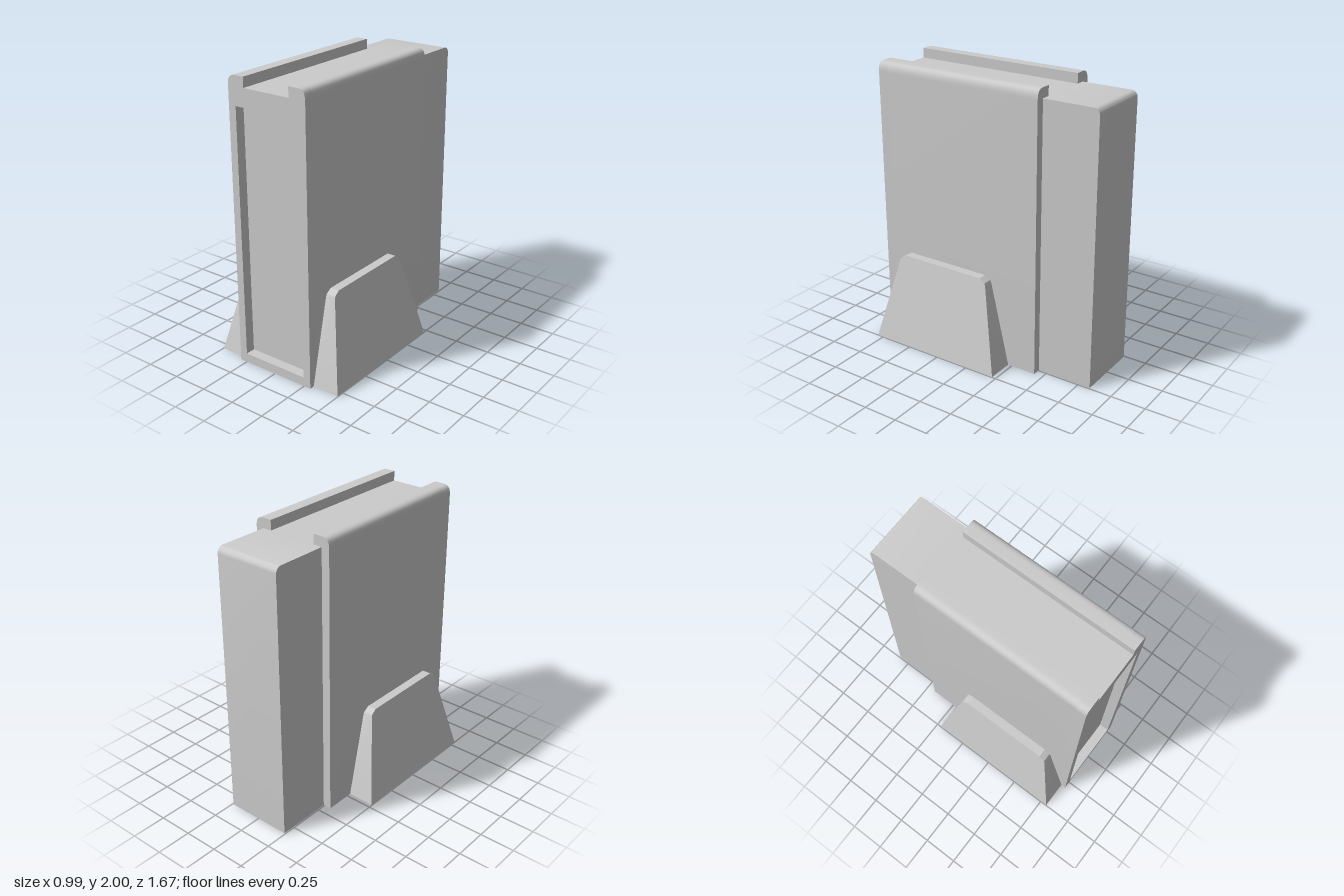
import * as THREE from 'three';
import { toCreasedNormals } from 'three/addons/utils/BufferGeometryUtils.js';

const FRONT = 0.835, STEP = -0.435, BACK = -0.835;
const HALF = 0.302, TOP = 2, FLOOR = 1.93, RECESS = 0.07;

function extrude(shape, depth) {
  return new THREE.ExtrudeGeometry(shape, { depth, bevelEnabled: false, curveSegments: 8 });
}

// Casing outline: rounded shoulders with a channel along the top
function casingShape() {
  const s = new THREE.Shape();
  s.moveTo(-HALF, 0);
  s.lineTo(HALF, 0);
  s.lineTo(HALF, 1.93);
  s.bezierCurveTo(HALF, 1.98, 0.285, TOP, 0.245, TOP);
  s.lineTo(0.177, TOP);
  s.lineTo(0.177, FLOOR);
  s.lineTo(-0.177, FLOOR);
  s.lineTo(-0.177, TOP);
  s.lineTo(-0.245, TOP);
  s.bezierCurveTo(-0.285, TOP, -HALF, 1.98, -HALF, 1.93);
  s.closePath();
  return s;
}

// Side foot: trapezoid whose outer face leans in towards the top
function footGeometry(side) {
  const mid = 0.29;
  const half = [[0.51, 0], [0.37, 0.6], [0.362, 0.615], [0.32, 0.64]];
  const outline = [
    ...half.map(([d, y]) => [mid + d, y]),
    ...half.slice().reverse().map(([d, y]) => [mid - d, y]),
  ];
  const shape = new THREE.Shape(outline.map(([z, y]) => new THREE.Vector2(-side * z, y)));
  const geo = extrude(shape, 0.2);
  const p = geo.attributes.position;
  for (let i = 0; i < p.count; i++) {
    const outer = 0.497 - 0.132 * p.getY(i) / 0.64;
    p.setZ(i, p.getZ(i) > 0.1 ? outer : 0.295);
  }
  geo.rotateY(side * Math.PI / 2);
  geo.computeVertexNormals();
  return geo;
}

export function createModel() {
  const group = new THREE.Group();
  const material = new THREE.MeshStandardMaterial({ color: 0xcccccc });
  const add = (name, geo, crease = 0.5) => {
    const mesh = new THREE.Mesh(toCreasedNormals(geo, crease), material);
    mesh.name = name;
    group.add(mesh);
    return mesh;
  };

  // Main casing behind the front panel
  const casing = extrude(casingShape(), FRONT - RECESS - STEP);
  casing.translate(0, 0, STEP);
  add('casing', casing);

  // Front frame around the recessed panel
  const frameShape = casingShape();
  frameShape.holes.push(new THREE.Path([
    [-0.247, 0.065], [-0.247, 1.805], [0.247, 1.805], [0.247, 0.065],
  ].map(([x, y]) => new THREE.Vector2(x, y))));
  const frame = extrude(frameShape, RECESS);
  frame.translate(0, 0, FRONT - RECESS);
  add('frontFrame', frame);

  // Narrower rear block with a rounded top back edge
  const r = 0.045;
  const rear = new THREE.Shape();
  rear.moveTo(BACK, 0);
  rear.lineTo(STEP, 0);
  rear.lineTo(STEP, FLOOR);
  rear.lineTo(BACK + r, FLOOR);
  rear.absarc(BACK + r, FLOOR - r, r, Math.PI / 2, Math.PI, false);
  rear.closePath();
  const rearGeo = extrude(rear, 0.484);
  rearGeo.translate(0, 0, -0.242);
  rearGeo.rotateY(-Math.PI / 2);
  add('rearBlock', rearGeo);

  // Feet on both sides
  add('leftFoot', footGeometry(1));
  add('rightFoot', footGeometry(-1));

  return group;
}
